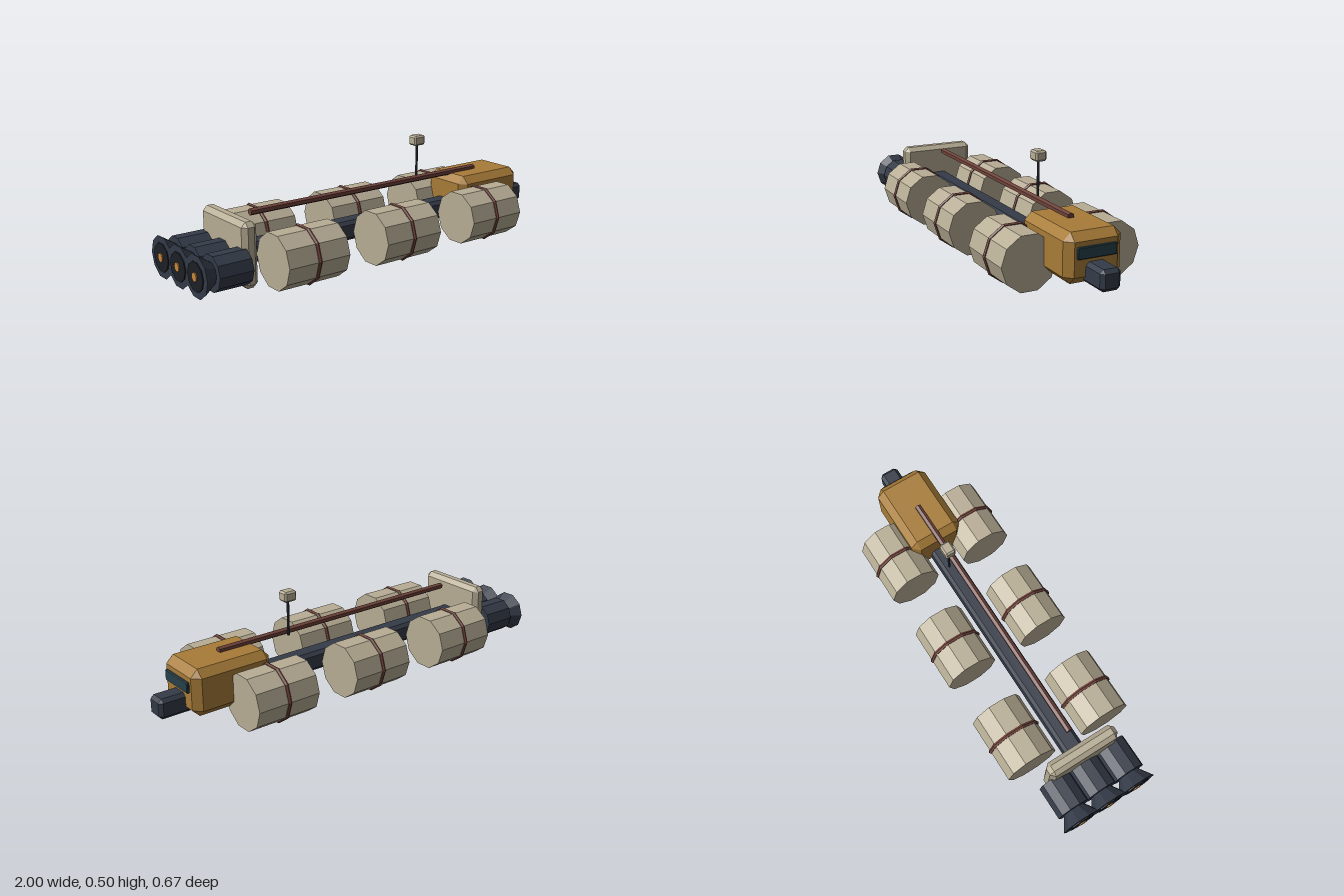
import * as THREE from 'three';
import { ConvexGeometry } from 'three/addons/geometries/ConvexGeometry.js';

const paint = (color) => new THREE.MeshStandardMaterial({ color, flatShading: true });

export function createModel() {
  const ship = new THREE.Group();
  ship.name = 'cargoShip';
  const cream = paint(0xb8ae96), gold = paint(0xa87c38), dark = paint(0x343b48);
  const black = paint(0x1c2027), brown = paint(0x6e423a), teal = paint(0x27414c), glow = paint(0xc98a3c);

  const add = (name, geometry, material, x, y, z, parent = ship) => {
    const mesh = new THREE.Mesh(geometry, material);
    mesh.name = name;
    mesh.position.set(x, y, z);
    parent.add(mesh);
    return mesh;
  };

  // Box with every edge cut by a flat chamfer
  const chamferBox = (w, h, d, c) => {
    const points = [];
    for (const sx of [-1, 1]) for (const sy of [-1, 1]) for (const sz of [-1, 1]) {
      for (let axis = 0; axis < 3; axis++) {
        const half = [w / 2, h / 2, d / 2].map((v, i) => (i === axis ? v : v - c));
        points.push(new THREE.Vector3(sx * half[0], sy * half[1], sz * half[2]));
      }
    }
    return new ConvexGeometry(points);
  };

  // Cylinder lying along x, with its rear radius at -x
  const barrel = (rearR, frontR, length, sides) =>
    new THREE.CylinderGeometry(rearR, frontR, length, sides).rotateZ(Math.PI / 2);

  // Spine from the bulkhead through the cabin to the nose
  add('spine', chamferBox(1.78, 0.093, 0.094, 0.016), dark, 0.11, 0.124, 0);

  // Cabin and its window
  add('cabin', chamferBox(0.39, 0.216, 0.267, 0.034), gold, 0.684, 0.184, 0);
  add('window', chamferBox(0.014, 0.05, 0.18, 0.003), teal, 0.886, 0.213, 0);

  // Three pairs of cargo tanks, each with a strap
  for (const x of [-0.5, 0.02, 0.54]) {
    for (const side of [-1, 1]) {
      const tank = new THREE.Group();
      tank.name = side > 0 ? 'leftTank' : 'rightTank';
      tank.position.set(x, 0.13, side * 0.2);
      ship.add(tank);
      add('tankBody', barrel(0.128, 0.128, 0.31, 10), cream, 0, 0, 0, tank);
      add('tankStrap', new THREE.TorusGeometry(0.126, 0.0105, 6, 10).rotateY(Math.PI / 2), brown, 0, 0, 0, tank);
    }
  }

  // Rear bulkhead
  add('bulkhead', chamferBox(0.072, 0.293, 0.363, 0.021), cream, -0.744, 0.167, 0);

  // Row of three engines
  for (const z of [-0.15, 0, 0.15]) {
    const engine = new THREE.Group();
    engine.name = 'engine';
    engine.position.set(0, 0.125, z);
    ship.add(engine);
    add('engineBody', barrel(0.082, 0.082, 0.16, 10), dark, -0.845, 0, 0, engine);
    add('nozzle', barrel(0.097, 0.05, 0.07, 10), dark, -0.955, 0, 0, engine);
    add('nozzleThroat', barrel(0.066, 0.066, 0.01, 10), black, -0.99, 0, 0, engine);
    add('exhaustGlow', barrel(0.02, 0.02, 0.01, 10), glow, -0.995, 0, 0, engine);
  }

  // Pipe along the top
  add('topPipe', new THREE.CylinderGeometry(0.016, 0.016, 1.32, 6).rotateY(Math.PI / 2).rotateZ(Math.PI / 2),
    brown, 0.02, 0.298, 0);

  // Mast with sensor box
  add('mast', new THREE.CylinderGeometry(0.006, 0.006, 0.17, 8), dark, 0.333, 0.375, -0.034);
  add('sensorBox', chamferBox(0.064, 0.048, 0.054, 0.008), cream, 0.333, 0.479, -0.034);

  return ship;
}
